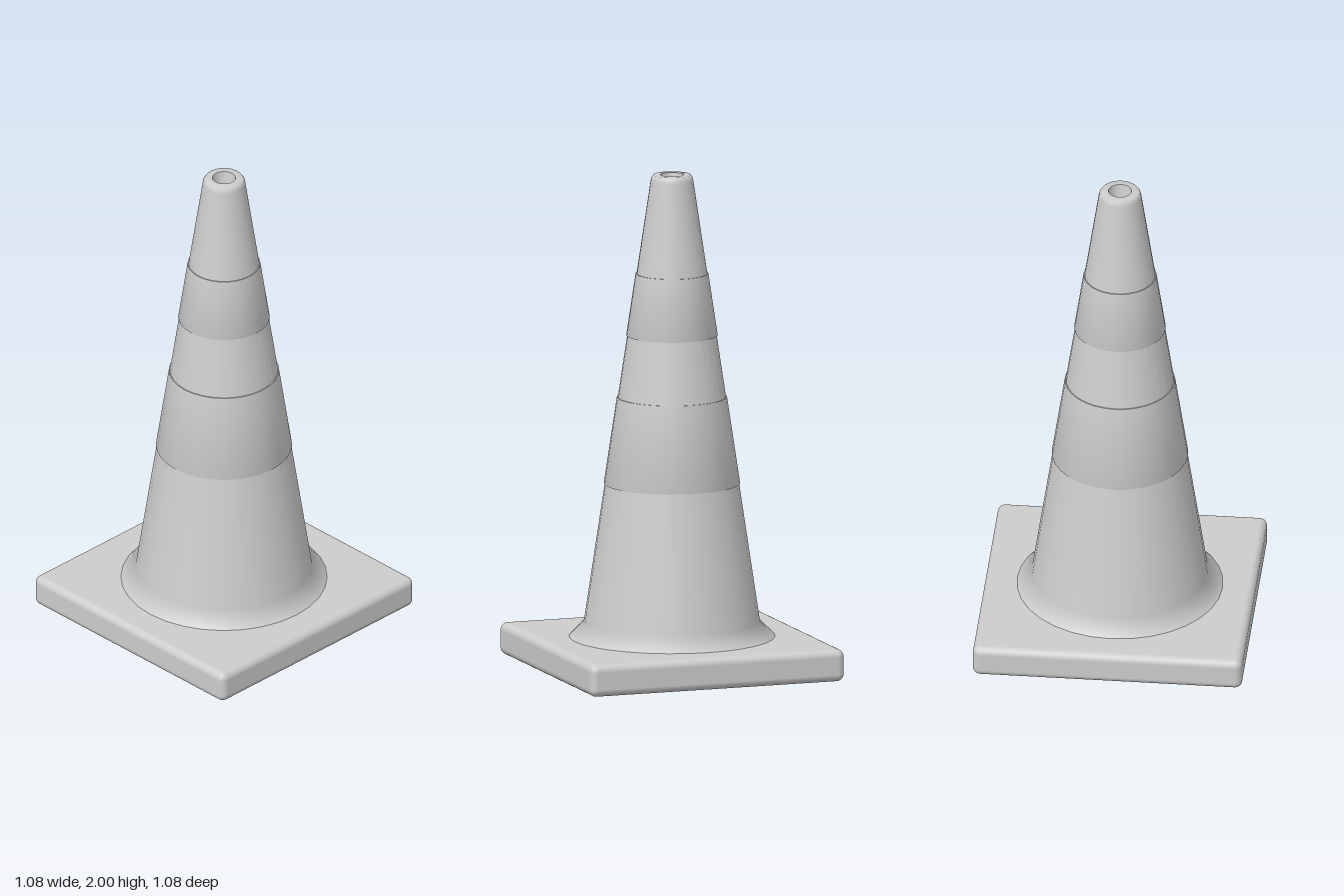
import * as THREE from 'three';
import { RoundedBoxGeometry } from 'three/addons/geometries/RoundedBoxGeometry.js';

const SIDES = 32;

export function createModel() {
  const group = new THREE.Group();
  const grey = new THREE.MeshStandardMaterial({ color: 0xcccccc });
  grey.name = 'light grey';

  const add = (name, geometry) => {
    const mesh = new THREE.Mesh(geometry, grey);
    mesh.name = name;
    group.add(mesh);
    return mesh;
  };
  const lathe = (points) =>
    new THREE.LatheGeometry(points.map(([r, y]) => new THREE.Vector2(r, y)), SIDES);

  // Radius of the tapering body at a height
  const bodyRadius = (y) => 0.352 - (y - 0.19) * 0.1493;

  // Square foot with rounded edges
  add('base', new RoundedBoxGeometry(1.08, 0.13, 1.08, 4, 0.03)).position.y = 0.065;

  // Flared skirt, straight taper and softly rounded tip
  add('coneBody', lathe([
    [0.412, 0.13], [0.352, 0.19], [bodyRadius(1.975), 1.975],
    [0.082, 1.99], [0.074, 2], [0.046, 2],
  ]));

  // Recess in the tip: tapered wall and floor
  add('tipHoleWall', lathe([[0.046, 2], [0.036, 1.94]]));
  const floor = add('tipHoleFloor', new THREE.CircleGeometry(0.036, SIDES));
  floor.rotation.x = -Math.PI / 2;
  floor.position.y = 1.94;

  // Raised collars, each with a lower lip that runs into the body
  const addBand = (name, bottom, top, lip) => {
    const r0 = bodyRadius(bottom) + 0.004;
    const r1 = bodyRadius(top) + 0.004;
    add(name, lathe([[r0 - lip, bottom], [r0, bottom], [r1, top]]));
    add(name + 'Top', lathe([[r1, top], [r1 - 0.01, top]]));
  };
  addBand('lowerBand', 0.75, 1.1, 0.075);
  addBand('upperBand', 1.35, 1.6, 0.057);

  return group;
}
